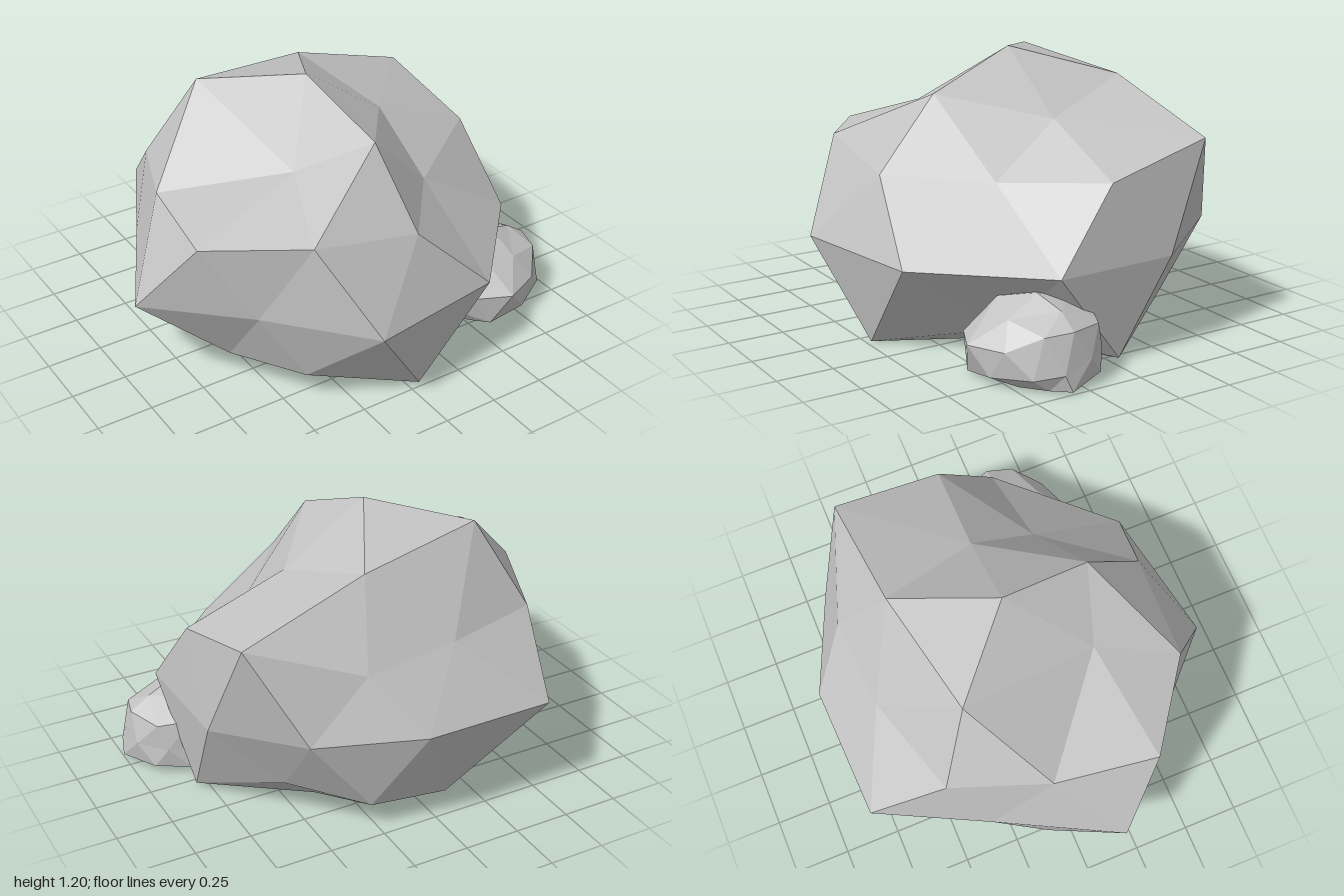
import * as THREE from 'three';

// Joins a top point, rings of 5, 10, 10, 10 and 5 points, and a bottom point
// into a faceted closed stone. Rings run from +x towards +z.
function stone(name, material, top, crown, shoulder, waist, foot, base, bottom) {
  const pos = [];
  const tri = (...pts) => pts.forEach(p => pos.push(...p));
  const at = (ring, i) => ring[(i + ring.length) % ring.length];
  for (let i = 0; i < 5; i++) {
    const c = crown[i], cNext = at(crown, i + 1), k = 2 * i;
    // Cap and crown
    tri(top, cNext, c);
    tri(c, shoulder[k + 1], shoulder[k]);
    tri(c, shoulder[k], at(shoulder, k - 1));
    tri(c, cNext, shoulder[k + 1]);
    // Underside
    const b = base[i], bNext = at(base, i + 1), f = at(foot, k + 2);
    tri(b, foot[k + 1], f);
    tri(b, foot[k], foot[k + 1]);
    tri(bNext, b, f);
    tri(bottom, b, bNext);
  }
  // Two staggered bands round the sides
  for (let k = 0; k < 10; k++) {
    const w = waist[k], wNext = at(waist, k + 1);
    tri(shoulder[k], wNext, w);
    tri(shoulder[k], at(shoulder, k + 1), wNext);
    tri(w, wNext, foot[k]);
    tri(wNext, at(foot, k + 1), foot[k]);
  }
  const geometry = new THREE.BufferGeometry();
  geometry.setAttribute('position', new THREE.Float32BufferAttribute(pos, 3));
  geometry.computeVertexNormals();
  const mesh = new THREE.Mesh(geometry, material);
  mesh.name = name;
  return mesh;
}

export function createModel() {
  const group = new THREE.Group();
  group.name = 'rocks';
  const grey = new THREE.MeshStandardMaterial({ color: 0xc2c2c2 });
  grey.name = 'stone grey';
  grey.flatShading = true;

  // Large boulder
  group.add(stone('boulder', grey,
    [-0.04, 1.2, -0.03],
    [[0.34, 0.94, -0.02], [0.03, 1.04, 0.39], [-0.3, 0.95, 0.28], [-0.4, 1.14, -0.35], [0.19, 1.07, -0.46]],
    [[0.79, 0.76, 0], [0.37, 0.71, 0.29], [0.06, 0.73, 0.67], [-0.43, 0.81, 0.64], [-0.81, 0.79, 0.37],
      [-0.75, 0.81, -0.09], [-0.585, 0.765, -0.51], [-0.13, 0.77, -0.65], [0.29, 0.73, -0.675], [0.76, 0.88, -0.5]],
    [[0.83, 0.42, -0.28], [0.84, 0.415, 0.28], [0.395, 0.41, 0.75], [-0.235, 0.42, 0.86], [-0.61, 0.455, 0.5],
      [-1, 0.47, 0.16], [-0.73, 0.47, -0.36], [-0.49, 0.475, -0.84], [0.105, 0.485, -0.86], [0.55, 0.465, -0.67]],
    [[0.8, 0.01, -0.04], [0.45, 0.1, 0.34], [0.055, 0, 0.725], [-0.425, 0.14, 0.57], [-0.63, 0.157, 0.28],
      [-0.8, 0.185, -0.12], [-0.55, 0.12, -0.49], [-0.14, 0, -0.6], [0.285, 0.125, -0.7], [0.56, 0.17, -0.44]],
    [[0.31, 0, 0.23], [-0.2, 0, 0.35], [-0.485, 0, 0], [-0.1, 0, -0.3], [0.37, 0, -0.34]],
    [0, 0, 0]));

  // Small stone leaning on its side
  group.add(stone('smallStone', grey,
    [0.74, 0.345, 0.33],
    [[0.87, 0.3, 0.3], [0.76, 0.265, 0.48], [0.6, 0.31, 0.43], [0.6, 0.32, 0.26], [0.75, 0.31, 0.2]],
    [[0.96, 0.24, 0.3], [0.93, 0.23, 0.42], [0.83, 0.16, 0.54], [0.66, 0.155, 0.61], [0.5, 0.15, 0.53],
      [0.48, 0.21, 0.4], [0.5, 0.24, 0.22], [0.62, 0.24, 0.12], [0.76, 0.25, 0.08], [0.9, 0.23, 0.14]],
    [[0.97, 0.12, 0.22], [0.99, 0.08, 0.36], [0.93, 0.06, 0.47], [0.76, 0.04, 0.565], [0.58, 0.01, 0.56],
      [0.42, 0.08, 0.44], [0.42, 0.1, 0.3], [0.52, 0.12, 0.14], [0.7, 0.12, 0.05], [0.87, 0.12, 0.1]],
    [[1, 0.01, 0.33], [0.94, 0.01, 0.4], [0.84, 0.01, 0.48], [0.67, 0, 0.5], [0.52, 0, 0.48],
      [0.42, 0.02, 0.38], [0.45, 0.03, 0.22], [0.6, 0.03, 0.1], [0.78, 0.03, 0.06], [0.92, 0.03, 0.14]],
    [[0.85, 0, 0.37], [0.68, 0, 0.44], [0.54, 0, 0.35], [0.64, 0, 0.2], [0.82, 0, 0.2]],
    [0.7, 0, 0.32]));

  return group;
}
